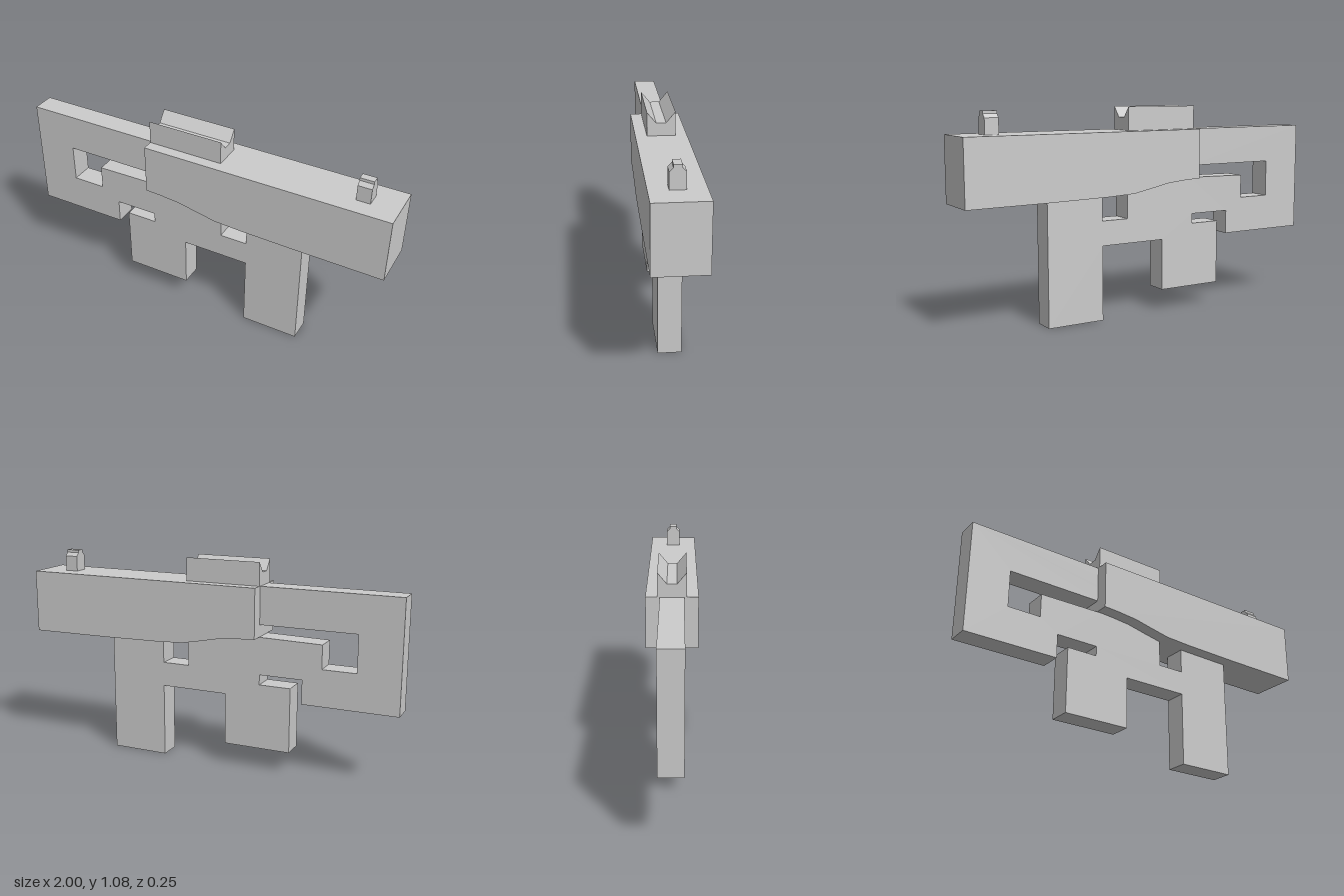
import * as THREE from 'three';

const material = new THREE.MeshStandardMaterial({ color: 0xcccccc, flatShading: true });
const toPoints = (list) => list.map(([a, b]) => new THREE.Vector2(a, b));

// Side profile (x, y) extruded symmetrically across z
function slab(name, outline, halfWidth, holes = []) {
  const shape = new THREE.Shape(toPoints(outline));
  for (const hole of holes) shape.holes.push(new THREE.Path(toPoints(hole)));
  const geometry = new THREE.ExtrudeGeometry(shape, { depth: 2 * halfWidth, bevelEnabled: false });
  geometry.translate(0, 0, -halfWidth);
  const mesh = new THREE.Mesh(geometry, material);
  mesh.name = name;
  return mesh;
}

// Half cross-section (z, y), mirrored across z and extruded from x0 to x1
function rail(name, half, x0, x1) {
  const mirrored = half.map(([z, y]) => [-z, y]).reverse();
  const shape = new THREE.Shape(toPoints([...half, ...mirrored]));
  const geometry = new THREE.ExtrudeGeometry(shape, { depth: x1 - x0, bevelEnabled: false });
  geometry.rotateY(Math.PI / 2);
  geometry.translate(x0, 0, 0);
  const mesh = new THREE.Mesh(geometry, material);
  mesh.name = name;
  return mesh;
}

export function createModel() {
  const group = new THREE.Group();
  group.name = 'blockyRifle';

  // Thin plate: stock, grip, magazine and guard in one outline
  const frame = [
    [-1, 0.38], [-0.51, 0.38], [-0.51, 0.505], [-0.285, 0.505], [-0.285, 0.453], [-0.45, 0.453],
    [-0.45, 0.115], [-0.097, 0.115], [-0.097, 0.383], [0.257, 0.383], [0.257, 0], [0.56, 0],
    [0.56, 0.7], [0.1, 0.8], [-0.2, 0.955 - 0.05], [-0.27, 0.955], [-1, 0.955],
  ];
  const stockOpening = [
    [-0.785, 0.57], [-0.61, 0.57], [-0.61, 0.693], [-0.45, 0.696], [-0.27, 0.699],
    [-0.27, 0.762], [-0.785, 0.762],
  ];
  const guardOpening = [[0.113, 0.51], [0.257, 0.51], [0.257, 0.66], [0.113, 0.66]];
  group.add(slab('frame', frame, 0.058, [stockOpening, guardOpening]));

  // Wide upper body with a curved underside
  const body = [
    [-0.283, 0.7], [-0.2, 0.696], [-0.09, 0.686], [0.01, 0.665], [0.113, 0.645], [0.257, 0.638],
    [0.56, 0.632], [0.997, 0.628], [0.997, 0.956], [-0.283, 0.956],
  ];
  group.add(slab('upperBody', body, 0.127));

  // Notched rear sight and stepped front sight
  group.add(rail('rearSight', [[0.07, 0.95], [0.07, 1.075], [0.024, 1.02]], -0.283, 0.113));
  group.add(rail('frontSight',
    [[0.037, 0.95], [0.037, 1.035], [0.019, 1.053], [0.019, 1.067]], 0.79, 0.86));

  return group;
}
